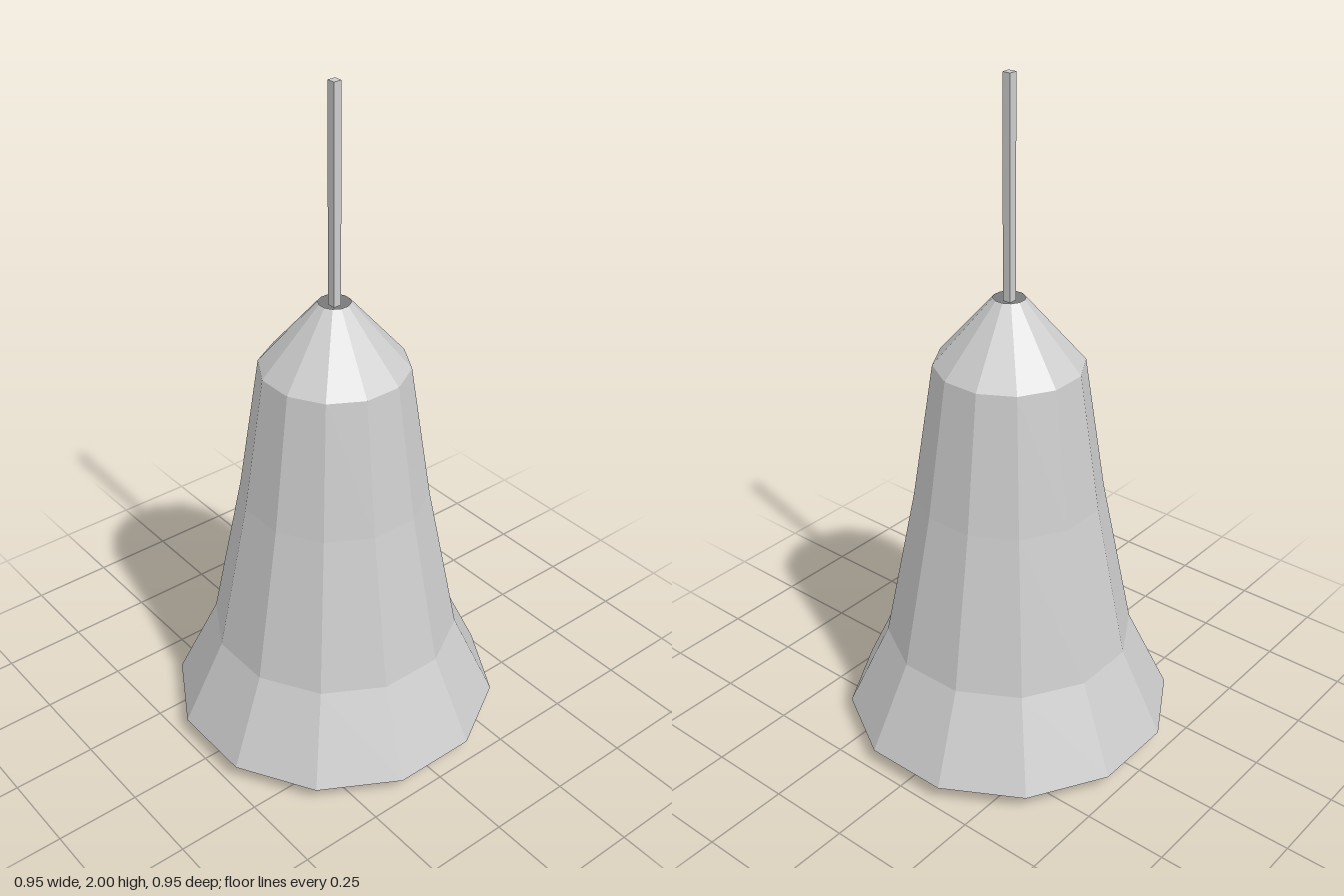
import * as THREE from 'three';

// Faceted look: every triangle gets its own normal
function faceted(geometry) {
  const g = geometry.index ? geometry.toNonIndexed() : geometry;
  g.computeVertexNormals();
  return g;
}

export function createModel() {
  const bell = new THREE.Group();
  bell.name = 'handBell';
  const grey = new THREE.MeshStandardMaterial({ color: 0xcccccc, side: THREE.DoubleSide });
  grey.name = 'light grey';

  function add(name, geometry) {
    const mesh = new THREE.Mesh(faceted(geometry), grey);
    mesh.name = name;
    bell.add(mesh);
    return mesh;
  }

  // Open twelve-sided shell, flats facing the axes; [corner radius, height]
  const profile = [
    [0.493, 0.048], [0.37, 0.31], [0.277, 0.78], [0.215, 1.19], [0.046, 1.385],
  ].map(([r, y]) => new THREE.Vector2(r, y));
  add('bellShell', new THREE.LatheGeometry(profile, 12, Math.PI / 12));

  // Square rod above the small opening
  const bottom = 1.375;
  const rod = add('hangingRod', new THREE.BoxGeometry(0.025, 2 - bottom, 0.025));
  rod.position.y = (2 + bottom) / 2;

  // Twenty-faced clapper standing on one corner
  const radius = 0.09;
  const golden = (1 + Math.sqrt(5)) / 2;
  const ball = new THREE.IcosahedronGeometry(radius, 0).rotateZ(-Math.atan(1 / golden));
  add('clapper', ball).position.y = radius;

  return bell;
}
